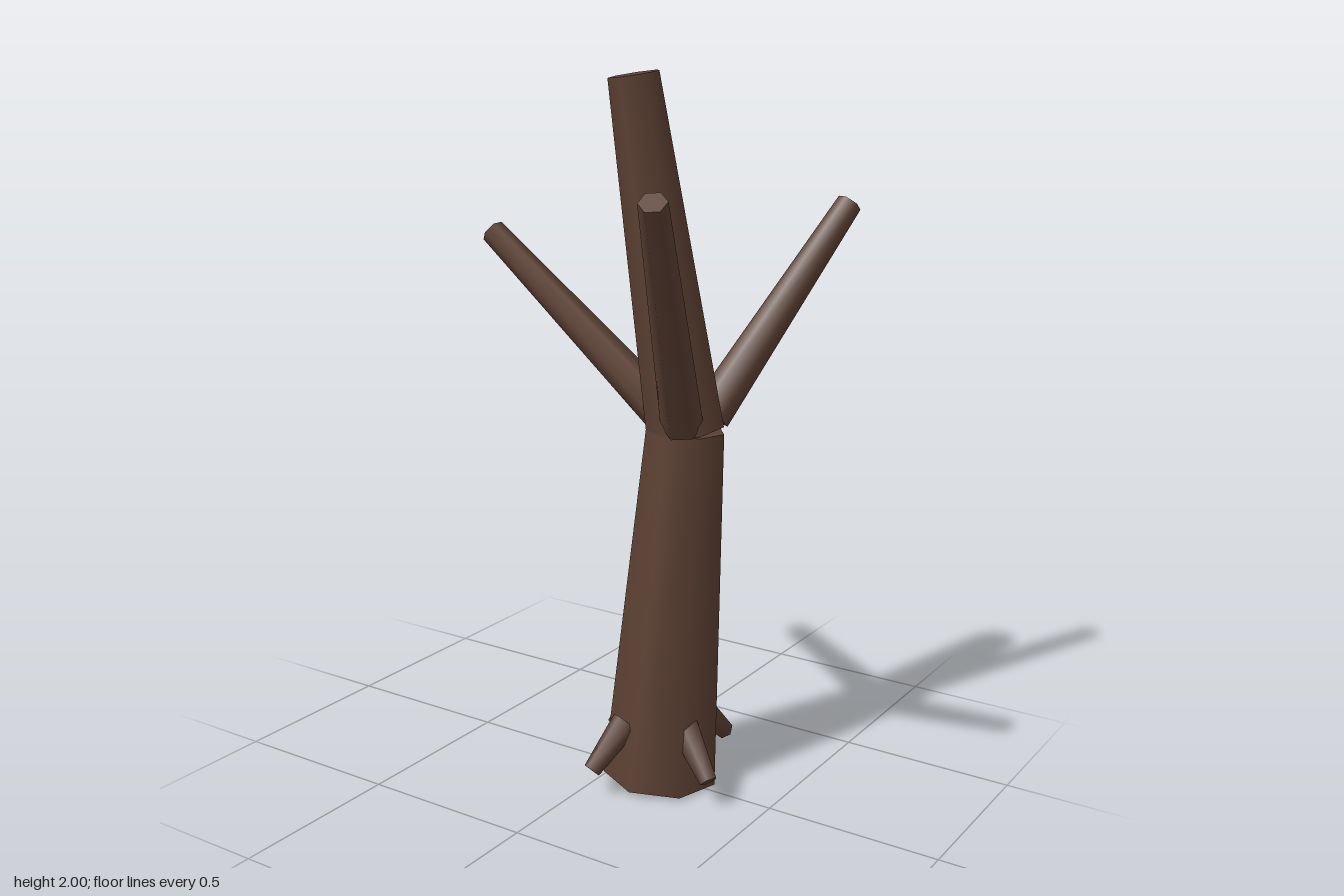
import * as THREE from 'three';

export function createModel() {
  const group = new THREE.Group();
  const bark = new THREE.MeshStandardMaterial({ color: 0x5c4033 });
  bark.name = 'bark brown';

  // Tapered limb running from one point to another
  function limb(name, from, to, rFrom, rTo, sides) {
    const a = new THREE.Vector3(...from);
    const b = new THREE.Vector3(...to);
    const dir = b.clone().sub(a);
    const mesh = new THREE.Mesh(
      new THREE.CylinderGeometry(rTo, rFrom, dir.length(), sides), bark);
    mesh.name = name;
    mesh.position.copy(a).add(b).multiplyScalar(0.5);
    mesh.quaternion.setFromUnitVectors(new THREE.Vector3(0, 1, 0), dir.normalize());
    group.add(mesh);
  }

  // Trunk, bent where the branches fork
  const fork = [0.19, 1.04, -0.04];
  limb('lowerTrunk', [0.14, 0.012, 0], fork, 0.165, 0.11, 7);
  limb('upperTrunk', fork, [0.08, 1.99, 0.055], 0.11, 0.07, 7);

  // Three bare branches
  limb('frontBranch', [0.22, 1.07, 0.03], [0.425, 1.72, 0.5], 0.058, 0.036, 6);
  limb('backBranch', [0.225, 1.07, -0.11], [0.435, 1.63, -0.505], 0.058, 0.036, 6);
  limb('rightBranch', [0.115, 1.08, -0.035], [-0.443, 1.543, -0.004], 0.058, 0.036, 6);

  // Four root stubs spread evenly around the base
  const names = ['leftRoot', 'frontRoot', 'rightRoot', 'backRoot'];
  names.forEach((name, i) => {
    const angle = 0.4 + i * Math.PI / 2;
    const c = Math.cos(angle), s = Math.sin(angle);
    limb(name, [0.14 + 0.12 * c, 0.2, 0.12 * s],
      [0.14 + 0.235 * c, 0.082, 0.235 * s], 0.043, 0.026, 5);
  });

  return group;
}
